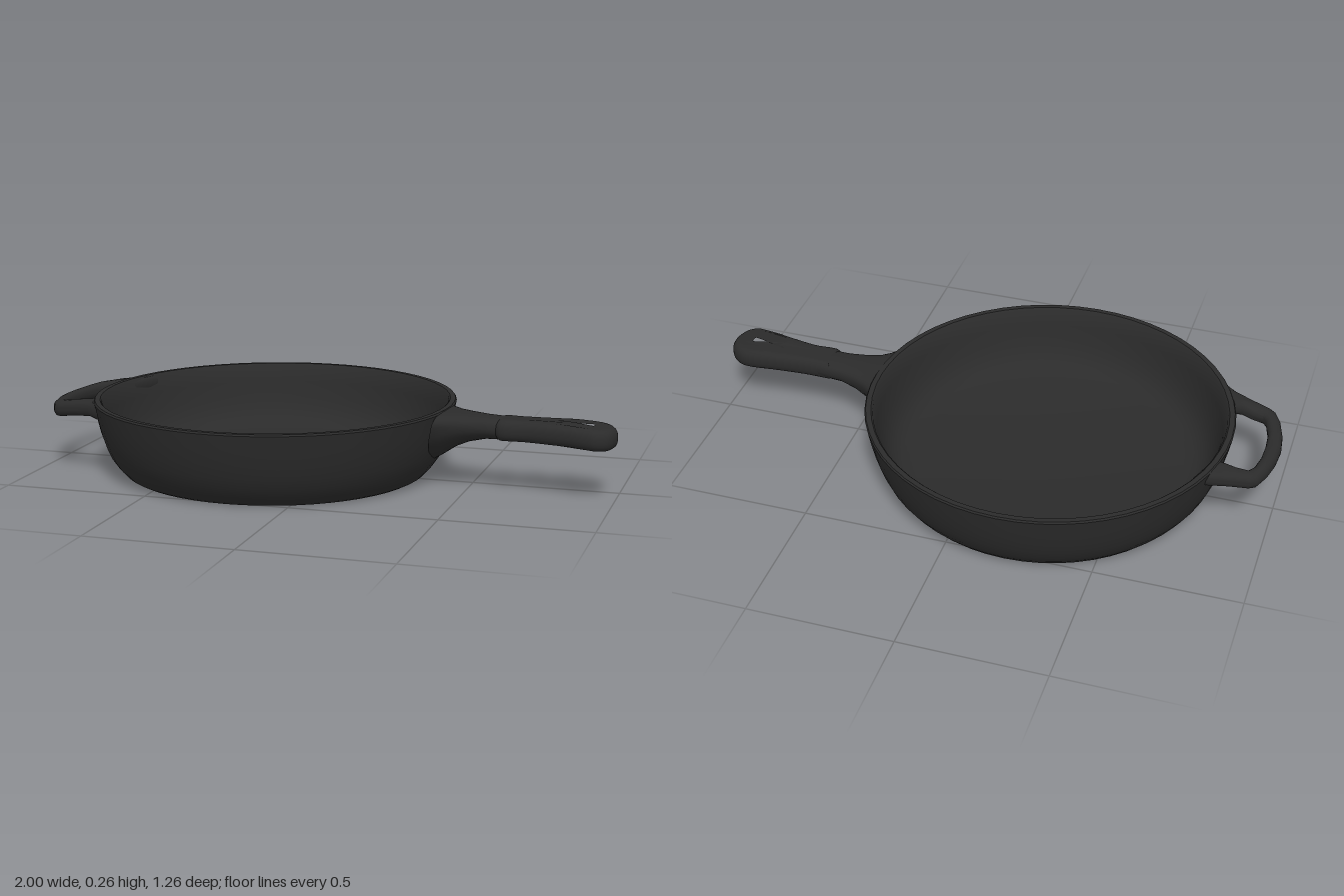
import * as THREE from 'three';
import { toCreasedNormals } from 'three/addons/utils/BufferGeometryUtils.js';

const PAN_X = -0.21;
const v2 = (p) => new THREE.Vector2(p[0], -p[1]);

// Flat rounded plate drawn in (x, z), standing between y0 and y1
function roundedPlate(shape, y0, y1, bevel) {
  const geo = new THREE.ExtrudeGeometry(shape, {
    depth: y1 - y0 - 2 * bevel, bevelThickness: bevel, bevelSize: bevel * 0.85,
    bevelOffset: -bevel * 0.85, bevelSegments: 4, curveSegments: 8,
  });
  geo.rotateX(-Math.PI / 2);
  geo.translate(0, y0 + bevel, 0);
  return geo;
}

// Moves the vertices up or down by a rule of x
function bend(geo, rule) {
  const p = geo.attributes.position;
  for (let i = 0; i < p.count; i++) p.setY(i, p.getY(i) + rule(p.getX(i)));
  return toCreasedNormals(geo, 0.9);
}

// Smooth closed outline through a few points
function smoothLoop(points, samples) {
  const curve = new THREE.SplineCurve([...points, points[0]].map(v2));
  return curve.getPoints(samples).slice(0, -1);
}

// Flared neck: rows of [x, centre z, half width, top, bottom, V-shape, lean]
function neckGeometry() {
  const rows = [
    [0.405, 0.04, 0.155, 0.260, 0.080, 1.7, 0.22],
    [0.425, 0.043, 0.125, 0.259, 0.105, 1.5, 0.12],
    [0.455, 0.047, 0.097, 0.257, 0.135, 1.3, 0.04],
    [0.50, 0.054, 0.077, 0.255, 0.158, 1.1, 0],
    [0.56, 0.061, 0.062, 0.252, 0.174, 0.85, 0],
    [0.65, 0.068, 0.059, 0.249, 0.177, 0.75, 0],
    [0.68, 0.070, 0.040, 0.240, 0.188, 0.75, 0],
  ];
  const N = 24, pos = [], idx = [];
  rows.forEach(([x, zc, hw, top, bot, vee, lean], r) => {
    const mid = top - 0.036;
    for (let j = 0; j < N; j++) {
      const a = (j / N) * Math.PI * 2, c = Math.cos(a), s = Math.sin(a);
      const z = zc + hw * Math.sign(c) * Math.abs(c) ** (s >= 0 ? 0.7 : vee);
      const y = s >= 0 ? mid + (top - mid) * s ** 0.8 : mid + (mid - bot) * s;
      pos.push(x - lean * (top - y), y, z);
      if (r < rows.length - 1) {
        const i = r * N + j, k = r * N + (j + 1) % N;
        idx.push(i, i + N, k, k, i + N, k + N);
      }
    }
  });
  const geo = new THREE.BufferGeometry();
  geo.setAttribute('position', new THREE.Float32BufferAttribute(pos, 3));
  geo.setIndex(idx);
  geo.computeVertexNormals();
  return geo;
}

export function createModel() {
  const group = new THREE.Group();
  group.name = 'skillet';
  const iron = new THREE.MeshStandardMaterial({ color: 0x2b2b2b });
  iron.name = 'cast iron';
  const add = (name, geo) => {
    const mesh = new THREE.Mesh(geo, iron);
    mesh.name = name;
    group.add(mesh);
    return mesh;
  };

  // Bowl: flat base, curved wall, thin rim and hollow inside
  const profile = [
    [0, 0], [0.515, 0], [0.53, 0.008], [0.555, 0.035], [0.578, 0.068], [0.594, 0.105],
    [0.609, 0.15], [0.622, 0.205], [0.632, 0.256], [0.628, 0.262], [0.610, 0.262],
    [0.604, 0.256], [0.592, 0.195], [0.578, 0.135], [0.562, 0.095], [0.54, 0.062],
    [0.51, 0.042], [0.47, 0.032], [0, 0.03],
  ].map((p) => new THREE.Vector2(...p));
  add('bowl', toCreasedNormals(new THREE.LatheGeometry(profile, 56), 0.7)).position.x = PAN_X;

  // Long handle: neck and grip with a teardrop hanging hole
  add('handleNeck', neckGeometry());
  const grip = new THREE.Shape(smoothLoop([
    [0.60, 0.008], [0.70, 0.010], [0.80, 0.004], [0.88, -0.002], [0.94, 0.004], [0.982, 0.035],
    [1.0, 0.085], [0.985, 0.145], [0.945, 0.175], [0.90, 0.172], [0.80, 0.150],
    [0.70, 0.132], [0.60, 0.124],
  ], 64));
  grip.holes.push(new THREE.Path(smoothLoop([
    [0.785, 0.076], [0.80, 0.068], [0.86, 0.058], [0.925, 0.048], [0.945, 0.062], [0.948, 0.095],
    [0.932, 0.122], [0.90, 0.120], [0.85, 0.103], [0.80, 0.086],
  ], 40)));
  add('handleGrip', bend(roundedPlate(grip, 0.178, 0.25, 0.03),
    (x) => -0.008 * Math.max(0, (x - 0.85) / 0.15)));

  // Helper handle: bracket on the opposite side, tilting down outwards
  const bracket = new THREE.Shape([
    [-0.755, -0.245], [-0.80, -0.215], [-0.87, -0.19], [-0.935, -0.168], [-0.957, -0.15],
    [-0.98, -0.09], [-0.995, -0.02], [-1.0, 0.05], [-0.992, 0.12], [-0.972, 0.19],
    [-0.95, 0.23], [-0.925, 0.245], [-0.86, 0.262], [-0.80, 0.285], [-0.735, 0.33],
    [-0.785, 0.20], [-0.835, 0.208], [-0.875, 0.197], [-0.91, 0.195], [-0.925, 0.175],
    [-0.943, 0.11], [-0.948, 0.04], [-0.945, -0.03], [-0.932, -0.095], [-0.917, -0.118],
    [-0.88, -0.122], [-0.845, -0.118], [-0.80, -0.115],
  ].map(v2));
  add('helperHandle', bend(roundedPlate(bracket, 0.178, 0.233, 0.024),
    (x) => 0.026 * Math.min(1, Math.max(0, (x + 0.99) / 0.17))));

  return group;
}
